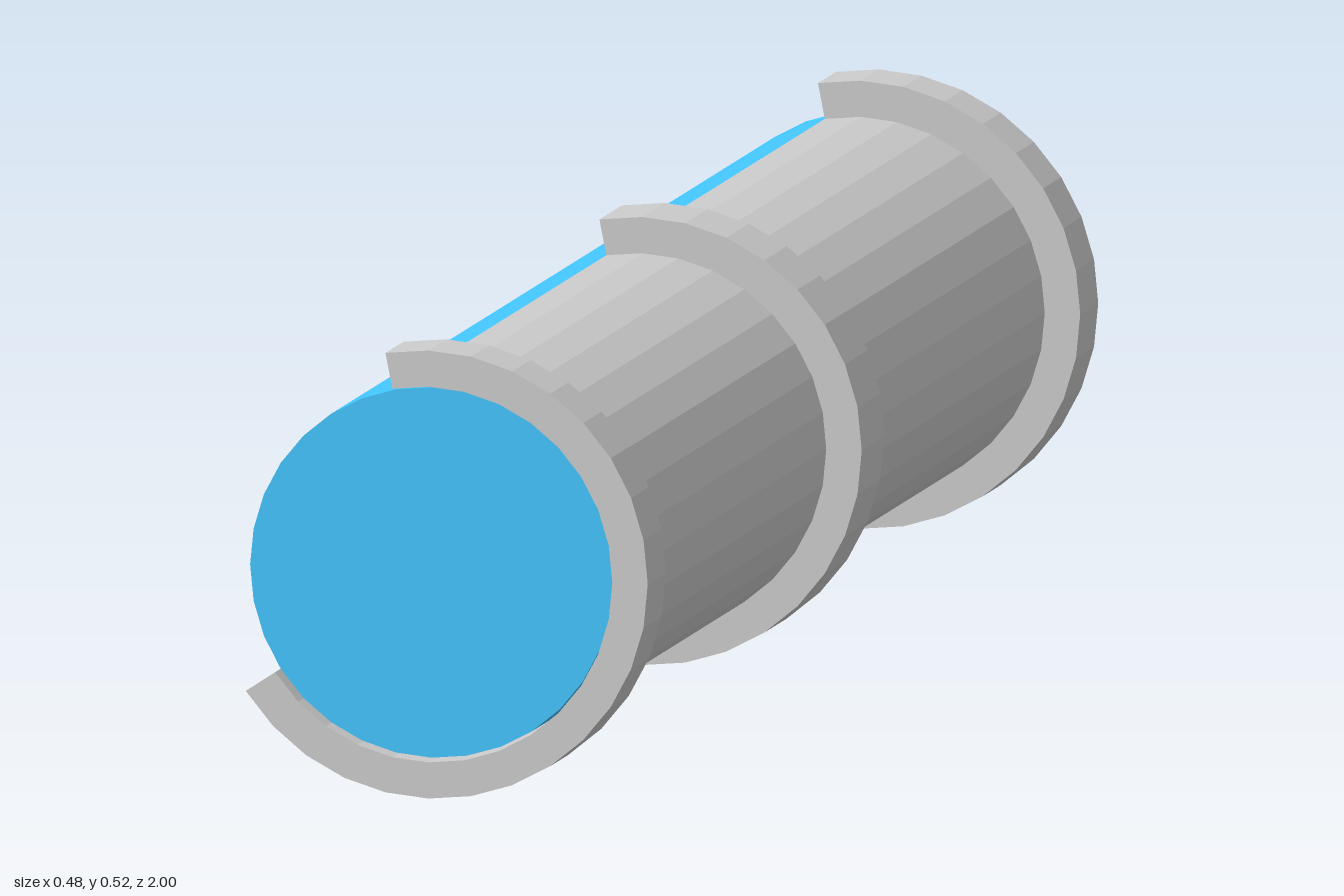
import * as THREE from 'three';

const STEP = Math.PI / 16; // 32 sides per full turn
const START = -13 * STEP; // lower lip of the open casing
const COUNT = 22; // sides covered by the casing
const CORE_R = 0.215, SHELL_R = 0.218, RIM_R = 0.26;

const grey = new THREE.MeshStandardMaterial({ color: 0xcccccc, flatShading: true, side: THREE.DoubleSide });
const blue = new THREE.MeshStandardMaterial({ color: 0x43c5fd, flatShading: true });

// Points along the casing's arc
function arc(radius) {
  return Array.from({ length: COUNT + 1 }, (_, i) => {
    const a = START + i * STEP;
    return new THREE.Vector2(radius * Math.cos(a), radius * Math.sin(a));
  });
}

function add(group, name, geometry, material) {
  const mesh = new THREE.Mesh(geometry, material);
  mesh.name = name;
  group.add(mesh);
}

// C-shaped band between z0 and z1
function band(z0, z1) {
  const shape = new THREE.Shape([...arc(RIM_R), ...arc(SHELL_R).reverse()]);
  return new THREE.ExtrudeGeometry(shape, { depth: z1 - z0, bevelEnabled: false }).translate(0, 0, z0);
}

export function createModel() {
  const group = new THREE.Group();
  group.name = 'casedTube';

  // Solid inner cylinder
  const core = new THREE.CylinderGeometry(CORE_R, CORE_R, 1.97, 32).rotateX(Math.PI / 2);
  add(group, 'core', core, blue);

  // Thin open casing; cylinder angles run from +z toward +x before it is laid along z
  const shell = new THREE.CylinderGeometry(SHELL_R, SHELL_R, 1.98, COUNT, 1, true, START + Math.PI / 2, COUNT * STEP);
  add(group, 'casing', shell.rotateX(Math.PI / 2), grey);

  // Raised bands at the ends and the middle
  add(group, 'frontBand', band(0.92, 1), grey);
  add(group, 'middleBand', band(-0.05, 0.05), grey);
  add(group, 'backBand', band(-1, -0.92), grey);

  group.position.set(-0.022, 0.26, 0);
  return group;
}
